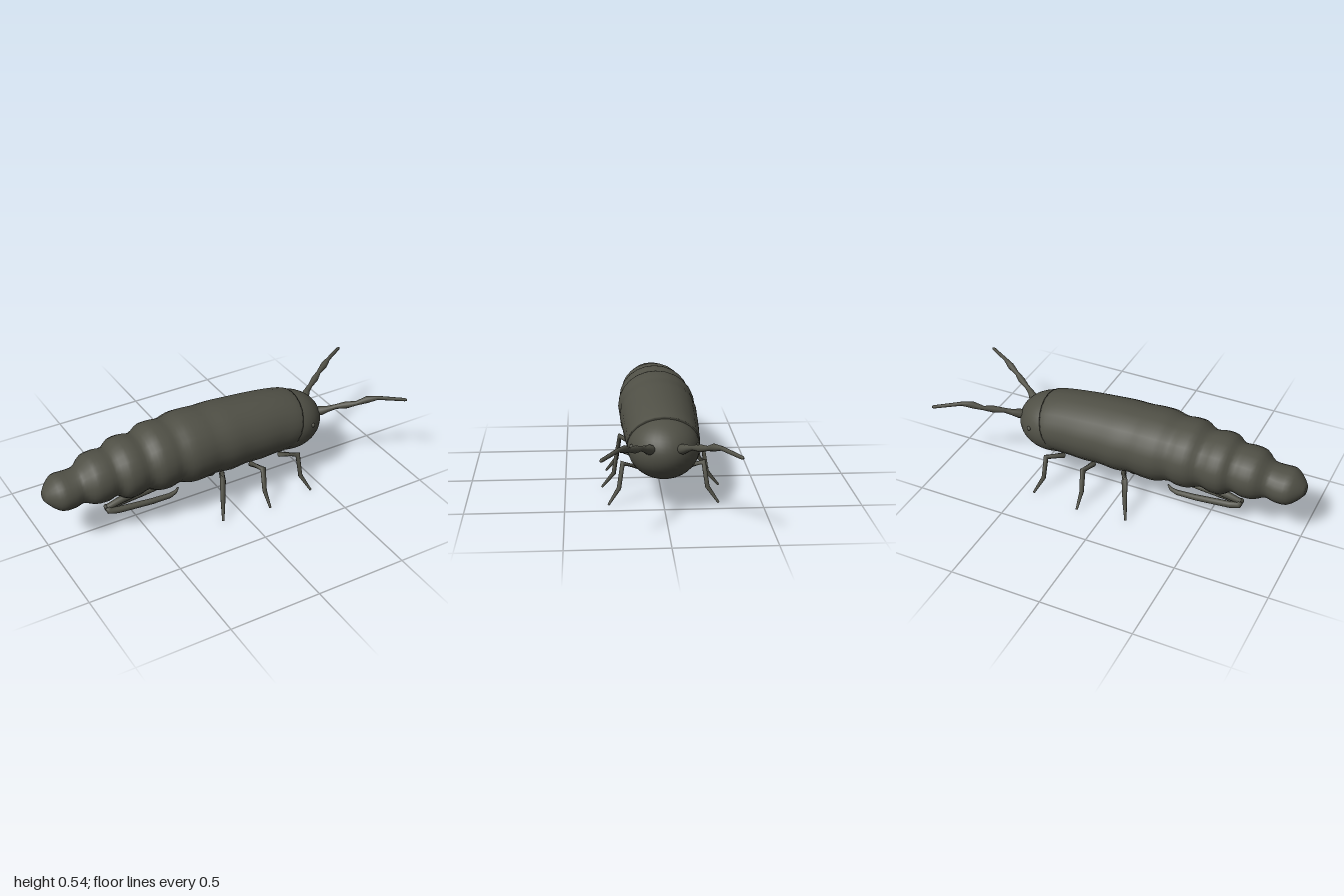
import * as THREE from 'three';

const cuticle = new THREE.MeshStandardMaterial({ color: 0x505046 });
cuticle.name = 'dark olive cuticle';

// Skin a list of rings (arrays of Vector3), capped at both ends.
function loft(rings) {
  const n = rings[0].length, pos = [], idx = [];
  rings.forEach(r => r.forEach(p => pos.push(p.x, p.y, p.z)));
  for (let i = 0; i < rings.length - 1; i++) {
    for (let j = 0; j < n; j++) {
      const a = i * n + j, b = i * n + (j + 1) % n;
      idx.push(a, b, a + n, b, b + n, a + n);
    }
  }
  [0, rings.length - 1].forEach(i => {
    const c = new THREE.Vector3();
    rings[i].forEach(p => c.addScaledVector(p, 1 / n));
    const k = pos.length / 3;
    pos.push(c.x, c.y, c.z);
    for (let j = 0; j < n; j++) {
      const a = i * n + j, b = i * n + (j + 1) % n;
      if (i === 0) idx.push(k, b, a); else idx.push(k, a, b);
    }
  });
  const g = new THREE.BufferGeometry();
  g.setAttribute('position', new THREE.Float32BufferAttribute(pos, 3));
  g.setIndex(idx);
  g.computeVertexNormals();
  return g;
}

// Limb of varying thickness through [x, y, z, radius] points; side flips z.
function limb(points, side = 1, sides = 10) {
  const ps = points.map(p => new THREE.Vector3(p[0], p[1], p[2] * side));
  const rings = ps.map((p, i) => {
    const d = new THREE.Vector3();
    if (i > 0) d.add(p.clone().sub(ps[i - 1]).normalize());
    if (i < ps.length - 1) d.add(ps[i + 1].clone().sub(p).normalize());
    d.normalize();
    const ref = Math.abs(d.z) > 0.9 ? new THREE.Vector3(1, 0, 0) : new THREE.Vector3(0, 0, 1);
    const u = ref.cross(d).normalize(), v = d.clone().cross(u);
    return Array.from({ length: sides }, (_, j) => {
      const t = j / sides * Math.PI * 2, r = points[i][3];
      return p.clone().addScaledVector(u, Math.cos(t) * r).addScaledVector(v, Math.sin(t) * r);
    });
  });
  return loft(rings);
}

export function createModel() {
  const model = new THREE.Group();
  model.name = 'springtail';
  const add = (name, geometry) => {
    const m = new THREE.Mesh(geometry, cuticle);
    m.name = name;
    model.add(m);
    return m;
  };

  // Segmented trunk: x, top, bottom, half width
  const profile = [
    [-1, 0.335, 0.285, 0.03], [-0.97, 0.37, 0.25, 0.07], [-0.925, 0.402, 0.217, 0.107], [-0.86, 0.403, 0.213, 0.109],
    [-0.81, 0.412, 0.222, 0.103], [-0.755, 0.455, 0.202, 0.14], [-0.69, 0.465, 0.198, 0.147], [-0.635, 0.463, 0.211, 0.141],
    [-0.59, 0.492, 0.184, 0.172], [-0.53, 0.499, 0.18, 0.177], [-0.47, 0.49, 0.194, 0.167], [-0.41, 0.522, 0.171, 0.192],
    [-0.35, 0.525, 0.169, 0.196], [-0.3, 0.52, 0.181, 0.19], [-0.23, 0.535, 0.16, 0.207], [-0.15, 0.535, 0.16, 0.207],
    [-0.09, 0.53, 0.167, 0.202], [0, 0.53, 0.156, 0.206], [0.09, 0.524, 0.163, 0.2], [0.2, 0.514, 0.157, 0.197],
    [0.3, 0.5, 0.16, 0.19], [0.38, 0.482, 0.162, 0.187], [0.415, 0.47, 0.164, 0.183]];
  const curve = [0, 1, 2].map(k => new THREE.CatmullRomCurve3(
    profile.map(p => new THREE.Vector3(p[0], p[k + 1], 0))));
  const steps = (profile.length - 1) * 3, rings = [];
  for (let i = 0; i <= steps; i++) {
    const [top, bottom, half] = curve.map(c => c.getPoint(i / steps));
    const x = top.x, lean = 0.05 * THREE.MathUtils.smoothstep(x, 0.1, 0.41);
    const cy = (top.y + bottom.y) / 2, ry = (top.y - bottom.y) / 2;
    rings.push(Array.from({ length: 24 }, (_, j) => {
      const t = j / 24 * Math.PI * 2;
      return new THREE.Vector3(x + lean * Math.cos(t), cy + ry * Math.cos(t), half.y * Math.sin(t));
    }));
  }
  add('segmentedBody', loft(rings));

  // Rounded head
  const head = add('head', new THREE.SphereGeometry(1, 32, 24));
  head.scale.set(0.203, 0.158, 0.182);
  head.position.set(0.42, 0.308, 0);

  // Legs: hip, knee, ankle and foot x, with knee and foot z
  const legs = [
    ['frontLeg', 0.33, 0.38, 0.39, 0.425, 0.205, 0.28],
    ['middleLeg', 0.15, 0.15, 0.15, 0.15, 0.225, 0.308],
    ['hindLeg', -0.03, -0.085, -0.095, -0.125, 0.205, 0.28]];

  for (const [prefix, side] of [['left ', 1], ['right ', -1]]) {
    for (const [name, hip, knee, ankle, foot, kz, fz] of legs) {
      add(prefix + name, limb([
        [hip, 0.165, 0.1, 0.015], [knee, 0.21, kz, 0.016],
        [ankle, 0.08, kz + 0.02, 0.012], [foot, 0.004, fz, 0.006]], side));
    }

    // Beaded antenna
    add(prefix + 'antenna', limb([
      [0.575, 0.343, 0.065, 0.022], [0.605, 0.35, 0.082, 0.026], [0.635, 0.364, 0.105, 0.017],
      [0.67, 0.378, 0.125, 0.013], [0.72, 0.39, 0.155, 0.019], [0.765, 0.403, 0.185, 0.012],
      [0.815, 0.423, 0.208, 0.019], [0.865, 0.435, 0.238, 0.011], [0.99, 0.428, 0.318, 0.009],
      [0.998, 0.427, 0.324, 0.005]], side));

    // Small eye bump
    const eye = add(prefix + 'eye', new THREE.SphereGeometry(0.012, 12, 8));
    eye.position.set(0.5, 0.335, 0.163 * side);

    // Fork prong of the tail spring
    add(prefix + 'springProng', limb([
      [-0.662, 0.116, 0.008, 0.014], [-0.655, 0.1, 0.015, 0.018], [-0.61, 0.095, 0.025, 0.018],
      [-0.42, 0.092, 0.044, 0.016], [-0.32, 0.095, 0.051, 0.014], [-0.285, 0.106, 0.05, 0.01],
      [-0.265, 0.126, 0.045, 0.004]], side));
  }

  // Stem of the tail spring and the belly peg
  add('springStem', limb([[-0.5, 0.15, 0, 0.023], [-0.58, 0.133, 0, 0.02], [-0.66, 0.113, 0, 0.016]]));
  add('bellyPeg', limb([
    [-0.05, 0.19, 0, 0.03], [-0.05, 0.15, 0, 0.038], [-0.05, 0.13, 0, 0.037],
    [-0.05, 0.113, 0, 0.029], [-0.05, 0.102, 0, 0.013]], 1, 16));

  return model;
}
